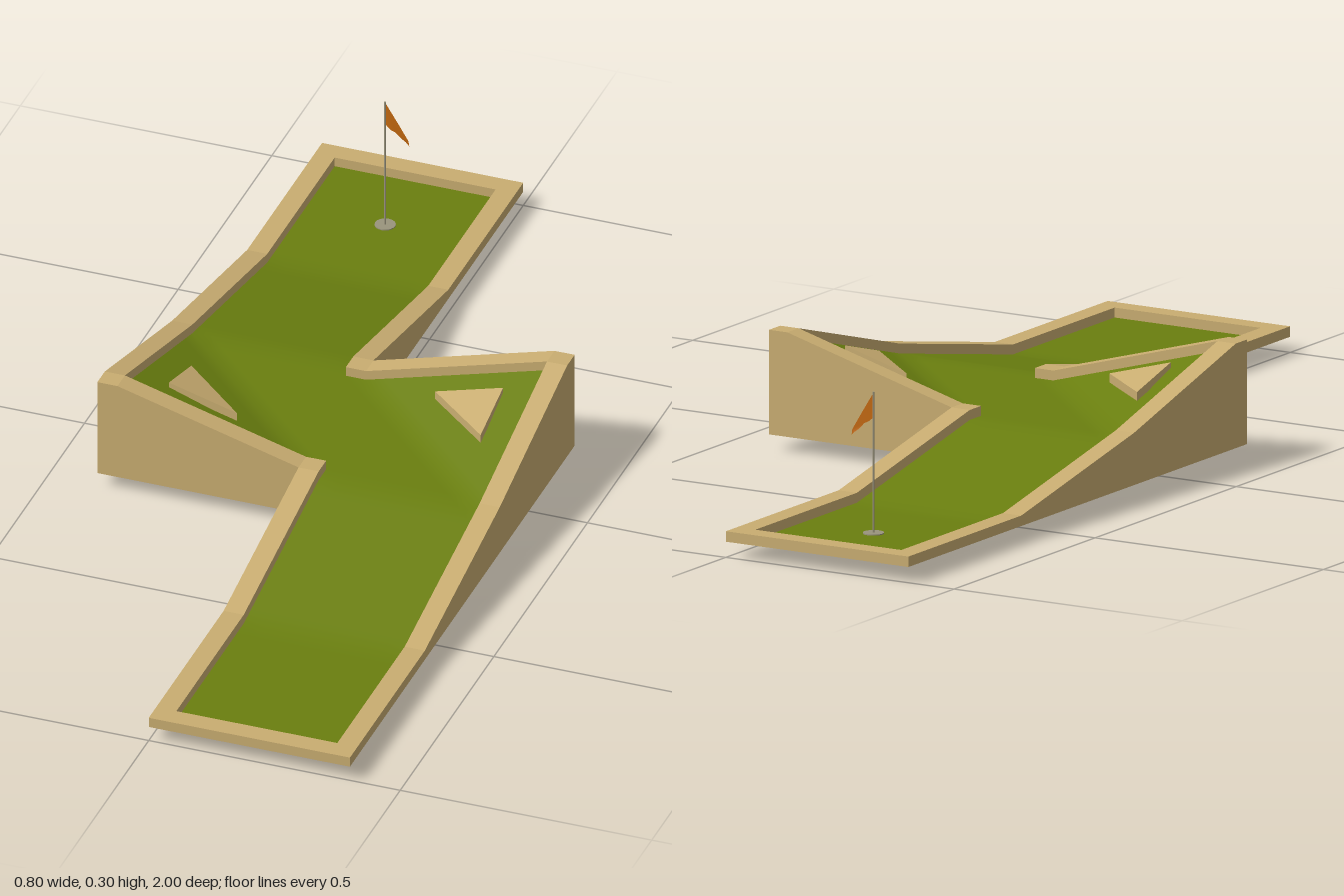
import * as THREE from 'three';
import { mergeGeometries, mergeVertices } from 'three/addons/utils/BufferGeometryUtils.js';

const T = 0.04;      // wall thickness
const BASE = 0.03;   // underside of the walls

// Height of the playing surface: flat ends, ramps, and two banked corners
function floorHeight(x, z) {
  const d = Math.abs(z);
  if (d >= 0.2) return BASE + 0.2 * Math.max(0, 0.6 - d);
  return 0.11 + (0.1 / 0.36) * Math.max(0, Math.abs(x - z) - 0.16);
}

// Grid patch draped over the surface, cell diagonals following the bank crease
function floorPatch(x0, x1, z0, z1) {
  const w = x1 - x0, d = z1 - z0;
  const g = new THREE.PlaneGeometry(d, w, Math.round(d / T), Math.round(w / T));
  g.rotateX(-Math.PI / 2).rotateY(Math.PI / 2).translate((x0 + x1) / 2, 0, (z0 + z1) / 2);
  const p = g.attributes.position;
  for (let i = 0; i < p.count; i++) {
    const z = Math.round(p.getZ(i) * 1000) / 1000;
    p.setY(i, floorHeight(p.getX(i), z) + 0.001);
  }
  g.deleteAttribute('normal');
  g.deleteAttribute('uv');
  return g;
}

// Wall from its top line [[u, y], ...], standing on the base
function wallGeometry(top) {
  const pts = [[top[0][0], BASE], ...top, [top[top.length - 1][0], BASE]];
  const shape = new THREE.Shape(pts.map(([u, y]) => new THREE.Vector2(u, y)));
  return new THREE.ExtrudeGeometry(shape, { depth: T, bevelEnabled: false });
}
const wallAlongZ = (x0, top) => wallGeometry(top).rotateY(-Math.PI / 2).translate(x0 + T, 0, 0);
const wallAlongX = (z0, top) => wallGeometry(top).translate(0, 0, z0);

// Triangular obstacle lying on the banked corner
function obstacleGeometry() {
  const tri = new THREE.Shape([[0.16, 0.1], [0.295, 0.1], [0.295, -0.02]].map(([x, y]) => new THREE.Vector2(x, y)));
  const g = new THREE.ExtrudeGeometry(tri, { depth: 1, bevelEnabled: false }).rotateX(-Math.PI / 2);
  const p = g.attributes.position;
  for (let i = 0; i < p.count; i++) {
    const x = p.getX(i), z = p.getZ(i), isTop = p.getY(i) > 0.5;
    p.setY(i, floorHeight(x, z) + (isTop ? 0.018 : -0.003 + 0.08 * (x - z - 0.26)));
  }
  g.computeVertexNormals();
  return g;
}

export function createModel() {
  const wood = new THREE.MeshStandardMaterial({ color: 0xc9ad71 });
  wood.name = 'wood';
  const turf = new THREE.MeshStandardMaterial({ color: 0x6a7f0f, side: THREE.DoubleSide });
  turf.name = 'turf';
  const metal = new THREE.MeshStandardMaterial({ color: 0x9a947c });
  metal.name = 'metal';
  const cloth = new THREE.MeshStandardMaterial({ color: 0xc4690f, side: THREE.DoubleSide });
  cloth.name = 'flag cloth';

  const model = new THREE.Group();
  model.name = 'miniGolfCourse';
  const add = (parent, name, geometry, material) => {
    const mesh = new THREE.Mesh(geometry, material);
    mesh.name = name;
    parent.add(mesh);
    return mesh;
  };

  // Playing surface: front lane, middle section, back lane
  const floor = mergeVertices(mergeGeometries([
    floorPatch(0.04, 0.36, 0.16, 0.96),
    floorPatch(-0.36, 0.36, -0.16, 0.16),
    floorPatch(-0.36, -0.04, -0.96, -0.16),
  ]), 1e-4);
  floor.computeVertexNormals();
  add(model, 'turfFloor', floor, turf);

  // Walls and obstacle of one half, repeated by a half turn
  for (const [name, turn] of [['frontHalf', 0], ['backHalf', Math.PI]]) {
    const half = new THREE.Group();
    half.name = name;
    half.rotation.y = turn;
    add(half, 'outerWall', wallAlongZ(0.36, [[-0.2, 0.23], [-0.16, 0.23], [0.2, 0.13], [0.6, 0.05], [1, 0.05]]), wood);
    add(half, 'innerWall', wallAlongZ(0, [[0.16, 0.13], [0.2, 0.13], [0.6, 0.05], [1, 0.05]]), wood);
    add(half, 'bankWall', wallAlongX(-0.2, [[0, 0.13], [0.36, 0.23]]), wood);
    add(half, 'endWall', wallAlongX(0.96, [[0.04, 0.05], [0.36, 0.05]]), wood);
    add(half, 'triangleObstacle', obstacleGeometry(), wood);
    model.add(half);
  }

  // Hole cup, pole and flag
  const hole = new THREE.Group();
  hole.name = 'hole';
  hole.position.set(-0.2, 0, -0.8);
  add(hole, 'cup', new THREE.CylinderGeometry(0.02, 0.02, 0.033, 16).translate(0, 0.0165, 0), metal);
  add(hole, 'flagPole', new THREE.CylinderGeometry(0.002, 0.002, 0.27, 8).translate(0, 0.167, 0), metal);
  const outline = [[0, 0.3], [0, 0.253], [0.011, 0.244], [0.021, 0.239], [0.03, 0.228], [0.04, 0.221], [0.048, 0.214], [0.046, 0.225], [0.025, 0.26]];
  const flag = new THREE.ShapeGeometry(new THREE.Shape(outline.map(([x, y]) => new THREE.Vector2(x, y))));
  const p = flag.attributes.position;
  for (let i = 0; i < p.count; i++) p.setZ(i, 0.002 * Math.sin(p.getX(i) * 130));
  flag.computeVertexNormals();
  add(hole, 'flag', flag, cloth);
  model.add(hole);

  return model;
}
